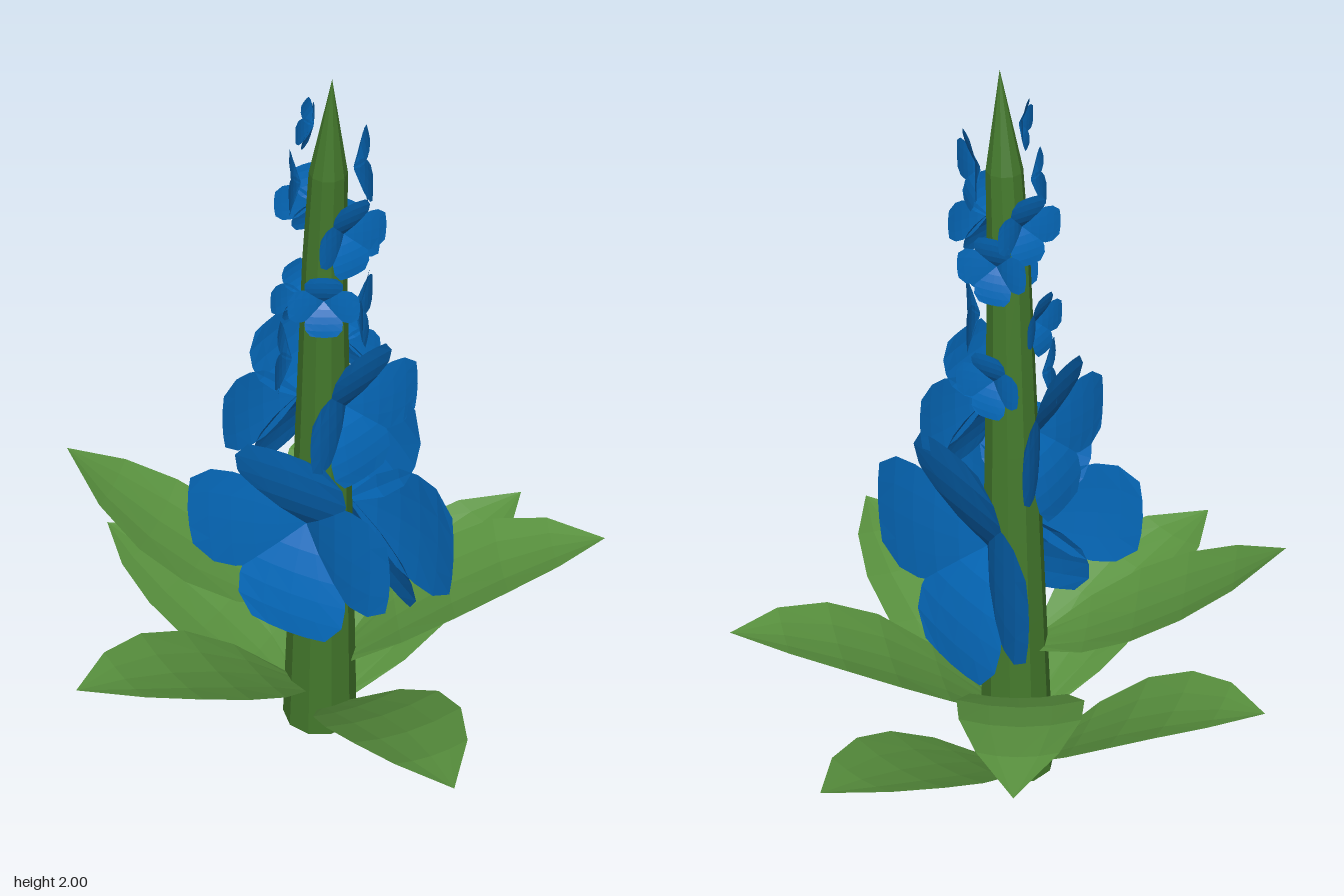
import * as THREE from 'three';

const lerp = THREE.MathUtils.lerp;

// Piecewise-linear lookup in evenly spaced values
function sample(values, t) {
  const f = t * (values.length - 1);
  const i = Math.min(Math.floor(f), values.length - 2);
  return lerp(values[i], values[i + 1], f - i);
}

// Grid surface from point(t, s): t runs 0..1 along, s runs -1..1 across
function sheet(rows, cols, point) {
  const positions = [], index = [];
  for (let i = 0; i <= rows; i++) {
    for (let j = 0; j <= cols; j++) positions.push(...point(i / rows, (j / cols) * 2 - 1));
  }
  for (let i = 0; i < rows; i++) {
    for (let j = 0; j < cols; j++) {
      const a = i * (cols + 1) + j, b = a + cols + 1;
      index.push(a, a + 1, b, a + 1, b + 1, b);
    }
  }
  const g = new THREE.BufferGeometry();
  g.setAttribute('position', new THREE.Float32BufferAttribute(positions, 3));
  g.setIndex(index);
  g.computeVertexNormals();
  return g;
}

function material(name, color, open) {
  const m = new THREE.MeshStandardMaterial({ color, flatShading: true });
  m.name = name;
  if (open) m.side = THREE.DoubleSide;
  return m;
}

// Centre line of the leaning stem
const stemX = [-0.013, -0.021, -0.033, -0.047, -0.06];
const stemZ = [0, 0.012, 0.025, 0.04, 0.07];
const stemRadius = (y) => (y < 1.75 ? lerp(0.1, 0.045, y / 1.75) : lerp(0.045, 0, (y - 1.75) / 0.25));

function makeStem(mat) {
  const g = new THREE.CylinderGeometry(1, 1, 2, 10, 8);
  g.translate(0, 1, 0);
  const p = g.attributes.position;
  for (let i = 0; i < p.count; i++) {
    const y = p.getY(i), r = stemRadius(y);
    p.setXYZ(i, p.getX(i) * r + sample(stemX, y / 2), y, p.getZ(i) * r + sample(stemZ, y / 2));
  }
  g.computeVertexNormals();
  const mesh = new THREE.Mesh(g, mat);
  mesh.name = 'stem';
  return mesh;
}

// Pointed leaf with a slight sideways sway: base height, tip position, arch
const leafWidth = [0.04, 0.125, 0.16, 0.15, 0.1, 0];
function makeLeaf([baseY, tipX, tipY, tipZ, arch], mat) {
  const x0 = sample(stemX, baseY / 2), z0 = sample(stemZ, baseY / 2);
  const dx = tipX - x0, dz = tipZ - z0, len = Math.hypot(dx, dz);
  const g = sheet(5, 4, (t, s) => {
    const bulge = Math.sin(Math.PI * t);
    const side = (sample(leafWidth, t) * s + 0.015 * bulge) / len;
    const k = lerp(0.09, 1, t);
    return [
      x0 + dx * k + dz * side,
      baseY + (tipY - baseY) * t + arch * t * (1 - t) + 0.025 * s * s * bulge,
      z0 + dz * k - dx * side,
    ];
  });
  const mesh = new THREE.Mesh(g, mat);
  mesh.name = 'leaf';
  return mesh;
}

// Unit blossom petal, growing along +y and leaning towards +z
const petalWidth = [0.05, 0.32, 0.48, 0.53, 0.52, 0.37];
const petalDepth = [0, 0.13, 0.22, 0.28, 0.32, 0.34];
function petalGeometry() {
  return sheet(5, 4, (t, s) => [
    sample(petalWidth, t) * s,
    t - 0.04 * s * s * t,
    sample(petalDepth, t) - 0.02 * s * s * Math.sin(Math.PI * t),
  ]);
}

// Four-petalled blossom set on the stem at a height and compass angle (0 = front)
function makeFlower([y, degrees, size], geometry, mat) {
  const flower = new THREE.Group();
  flower.name = 'flower';
  const a = THREE.MathUtils.degToRad(degrees);
  const r = stemRadius(y) + 0.02 - size * 0.05;
  flower.position.set(sample(stemX, y / 2) + Math.sin(a) * r, y, sample(stemZ, y / 2) + Math.cos(a) * r);
  flower.rotation.y = a;
  flower.scale.setScalar(size);
  for (let i = 0; i < 4; i++) {
    const petal = new THREE.Mesh(geometry, mat);
    petal.name = 'petal';
    petal.rotation.z = (i * Math.PI) / 2;
    flower.add(petal);
  }
  return flower;
}

export function createModel() {
  const model = new THREE.Group();
  model.name = 'flowerSpike';
  const stemGreen = material('stem green', 0x44792c);
  const leafGreen = material('leaf green', 0x5a933f, true);
  const petalBlue = material('petal blue', 0x056abc, true);

  model.add(makeStem(stemGreen));

  // Lower and upper leaves: base height, tip x y z, arch
  const leaves = [
    [0.03, 0.71, 0.37, 0.17, 0.18],
    [0.04, -0.07, 0.37, -0.68, 0.22],
    [0.08, -0.4, 0.42, 0.68, 0.28],
    [0.14, -0.71, 0.47, -0.24, 0.25],
    [0.21, 0.47, 0.56, 0.57, 0.28],
    [0.26, 0.65, 0.505, -0.33, 0.38],
    [0.4, -0.25, 0.76, -0.64, -0.13],
  ];
  for (const leaf of leaves) model.add(makeLeaf(leaf, leafGreen));

  // Blossoms, shrinking towards the tip: height, angle, petal length
  const petal = petalGeometry();
  const flowers = [
    [0.73, 63, 0.335], [0.735, -83, 0.29],
    [1.1, -8, 0.19], [1.06, 178, 0.21],
    [1.22, 85, 0.09], [1.2, -150, 0.09],
    [1.37, 28, 0.095], [1.43, -55, 0.085], [1.37, 175, 0.08],
    [1.53, 93, 0.09], [1.61, -15, 0.1], [1.63, 152, 0.09],
    [1.76, 42, 0.095], [1.72, -145, 0.075], [1.87, -165, 0.06],
  ];
  for (const flower of flowers) model.add(makeFlower(flower, petal, petalBlue));

  return model;
}
